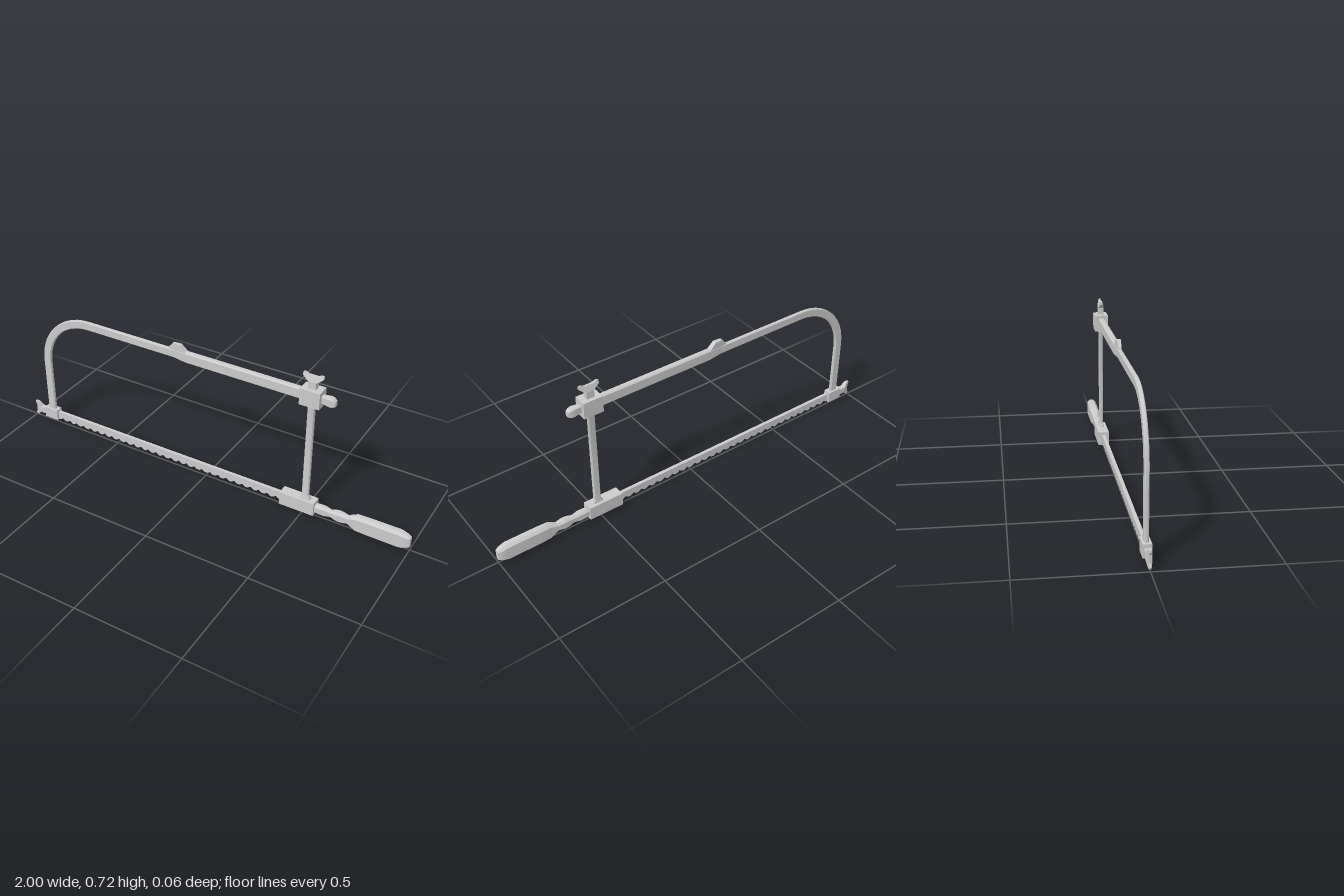
import * as THREE from 'three';
import { toCreasedNormals } from 'three/addons/utils/BufferGeometryUtils.js';

const material = new THREE.MeshStandardMaterial({ color: 0xcccccc });

function add(group, name, geometry, x = 0, y = 0, z = 0) {
  const mesh = new THREE.Mesh(geometry, material);
  mesh.name = name;
  mesh.position.set(x, y, z);
  group.add(mesh);
  return mesh;
}

// Chamfered bar through stations [x, y, direction, half height, half depth]
function loft(stations, chamfer = 0.4, crease = 0.4) {
  const pos = [], index = [];
  for (const [x, y, dir, h, w] of stations) {
    const c = chamfer * Math.min(h, w);
    const ring = [[h, -w + c], [h, w - c], [h - c, w], [-h + c, w],
      [-h, w - c], [-h, -w + c], [-h + c, -w], [h - c, -w]];
    for (const [n, z] of ring) pos.push(x - Math.sin(dir) * n, y + Math.cos(dir) * n, z);
  }
  const last = (stations.length - 1) * 8;
  for (let i = 0; i < last; i += 8) {
    for (let j = 0; j < 8; j++) {
      const k = (j + 1) % 8;
      index.push(i + j, i + k, i + 8 + j, i + k, i + 8 + k, i + 8 + j);
    }
  }
  for (let j = 1; j < 7; j++) {
    index.push(0, j + 1, j, last, last + j, last + j + 1);
  }
  const geo = new THREE.BufferGeometry();
  geo.setAttribute('position', new THREE.Float32BufferAttribute(pos, 3));
  geo.setIndex(index);
  return toCreasedNormals(geo, crease);
}

// Flat outline extruded symmetrically about z = 0
function plate(points, halfDepth) {
  const shape = new THREE.Shape(points.map(([x, y]) => new THREE.Vector2(x, y)));
  const geo = new THREE.ExtrudeGeometry(shape, { depth: 2 * halfDepth, bevelEnabled: false });
  return geo.translate(0, 0, -halfDepth);
}

// Thumb screw standing on y = 0, its wings thinning towards the tip
function wingScrew() {
  const half = [[0.018, 0], [0.018, 0.034], [0.032, 0.043], [0.046, 0.054],
    [0.046, 0.067], [0.037, 0.07], [0.02, 0.061]];
  const outline = [...half, ...half.map(([x, y]) => [-x, y]).reverse()];
  const geo = plate(outline, 0.013);
  const p = geo.attributes.position;
  for (let i = 0; i < p.count; i++) {
    const t = Math.max(0, (p.getY(i) - 0.034) / 0.036);
    p.setZ(i, p.getZ(i) * (1 - 0.78 * t));
  }
  geo.computeVertexNormals();
  return geo;
}

export function createModel() {
  const model = new THREE.Group();
  model.name = 'hacksaw';

  // Bow: upright, quarter bend and thin top rail
  const bow = [[-0.89, 0.06, Math.PI / 2, 0.02, 0.009]];
  for (let i = 0; i <= 14; i++) {
    const a = Math.PI - (i / 14) * Math.PI / 2;
    bow.push([-0.63 + 0.26 * Math.cos(a), 0.35 + 0.26 * Math.sin(a),
      a - Math.PI / 2, 0.02, 0.009]);
  }
  bow.push([-0.12, 0.61, 0, 0.02, 0.009]);
  add(model, 'bow', loft(bow));

  // Thicker sleeve of the top rail with its stop
  add(model, 'railSleeve', loft([
    [-0.16, 0.61, 0, 0.02, 0.009],
    [-0.1, 0.609, 0, 0.026, 0.014],
    [0.48, 0.609, 0, 0.026, 0.014],
  ]));
  const stop = plate([[-0.19, 0.62], [-0.1, 0.62], [-0.1, 0.633], [-0.128, 0.661],
    [-0.165, 0.661], [-0.185, 0.638]], 0.011);
  const sp = stop.attributes.position;
  for (let i = 0; i < sp.count; i++) {
    sp.setZ(i, sp.getZ(i) * THREE.MathUtils.mapLinear(sp.getX(i), -0.19, -0.1, 0.55, 1.15));
  }
  stop.computeVertexNormals();
  add(model, 'railStop', stop);

  // Upper clamp and rail end
  add(model, 'upperClamp', new THREE.BoxGeometry(0.092, 0.077, 0.062), 0.508, 0.609, 0);
  add(model, 'railEnd', loft([
    [0.54, 0.609, 0, 0.018, 0.013],
    [0.565, 0.609, 0, 0.018, 0.014],
    [0.59, 0.608, 0, 0.021, 0.017],
    [0.604, 0.607, 0, 0.019, 0.015],
    [0.615, 0.606, 0, 0.012, 0.01],
  ], 0.25));
  add(model, 'upperWingScrew', wingScrew(), 0.508, 0.647, 0);

  // Post flared at both ends
  add(model, 'post', loft([
    [0.508, 0.07, Math.PI / 2, 0.027, 0.014],
    [0.508, 0.083, Math.PI / 2, 0.025, 0.012],
    [0.508, 0.1, Math.PI / 2, 0.016, 0.009],
    [0.508, 0.55, Math.PI / 2, 0.016, 0.009],
    [0.508, 0.572, Math.PI / 2, 0.025, 0.014],
    [0.508, 0.58, Math.PI / 2, 0.025, 0.014],
  ]));

  // Blade holders
  add(model, 'handleBlock', new THREE.BoxGeometry(0.167, 0.064, 0.052), 0.477, 0.048, 0);
  add(model, 'bladeClamp', new THREE.BoxGeometry(0.075, 0.055, 0.036), -0.89, 0.049, 0);
  const screw = add(model, 'bladeWingScrew', wingScrew(), -0.928, 0.047, 0);
  screw.rotation.z = Math.PI / 2;
  screw.scale.set(0.8, 1.03, 1);

  // Blade with a row of blunt teeth along the lower edge
  const x0 = -0.87, x1 = 0.41, teeth = 30, step = (x1 - x0) / teeth;
  const edge = [[x1, 0.066], [x0, 0.066]];
  for (let i = 0; i < teeth; i++) {
    const x = x0 + i * step;
    edge.push([x, 0.036], [x + step * 0.35, 0.025], [x + step * 0.65, 0.025]);
  }
  edge.push([x1, 0.036]);
  add(model, 'blade', plate(edge, 0.008));

  // Turned neck and chamfered grip: [x, half height, half depth]
  const grip = [[0.55, 0.018, 0.015], [0.575, 0.024, 0.018], [0.605, 0.024, 0.018],
    [0.635, 0.017, 0.014], [0.665, 0.026, 0.019], [0.685, 0.026, 0.019],
    [0.715, 0.02, 0.015], [0.755, 0.04, 0.021], [0.8, 0.042, 0.022],
    [0.955, 0.043, 0.022], [0.985, 0.034, 0.019], [1, 0.026, 0.011]];
  add(model, 'handle', loft(grip.map(([x, h, w]) => [x, 0.045, 0, h, w]), 0.55, 0.6));

  return model;
}
